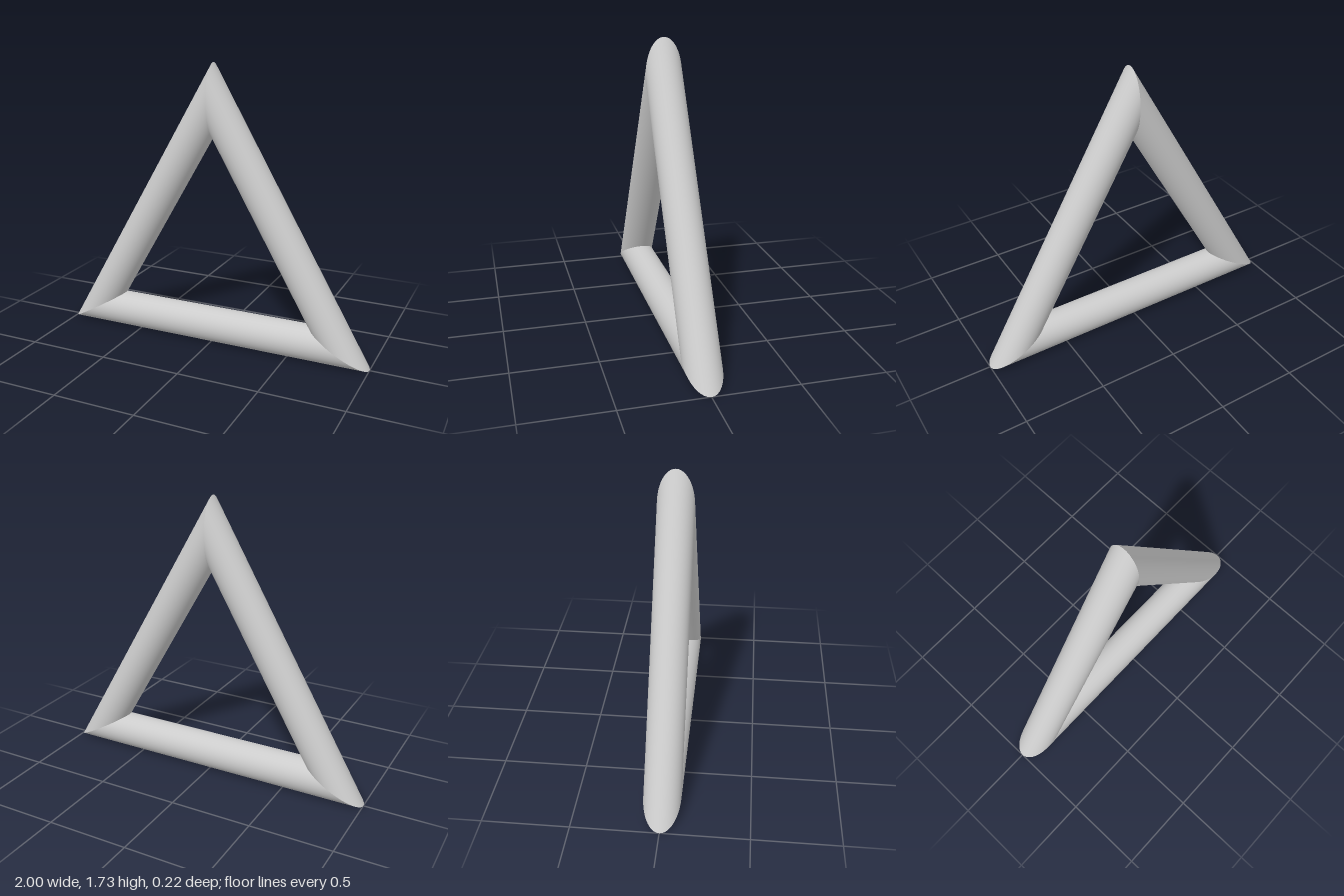
import * as THREE from 'three';

const TUBE_RADIUS = 0.108;
const INRADIUS = 1 / Math.sqrt(3); // centre to outer edge of a triangle with side 2
const AXIS_DISTANCE = INRADIUS - TUBE_RADIUS;

// Round bar below the centre, its ends mitred along the corner bisectors
function mitredBar() {
  const geometry = new THREE.CylinderGeometry(TUBE_RADIUS, TUBE_RADIUS, 2, 64, 1, true);
  geometry.rotateZ(Math.PI / 2);
  geometry.translate(0, -AXIS_DISTANCE, 0);
  const pos = geometry.attributes.position;
  for (let i = 0; i < pos.count; i++) {
    pos.setX(i, Math.sign(pos.getX(i)) * Math.sqrt(3) * -pos.getY(i));
  }
  return geometry;
}

export function createModel() {
  const group = new THREE.Group();
  group.name = 'triangularTubeFrame';
  const material = new THREE.MeshStandardMaterial({ color: 0xcccccc });
  const geometry = mitredBar();

  // Three identical bars turned about the triangle's centre
  ['bottomBar', 'leftBar', 'rightBar'].forEach((name, i) => {
    const bar = new THREE.Mesh(geometry, material);
    bar.name = name;
    bar.position.y = INRADIUS;
    bar.rotation.z = (i * Math.PI * 2) / 3;
    group.add(bar);
  });
  return group;
}
